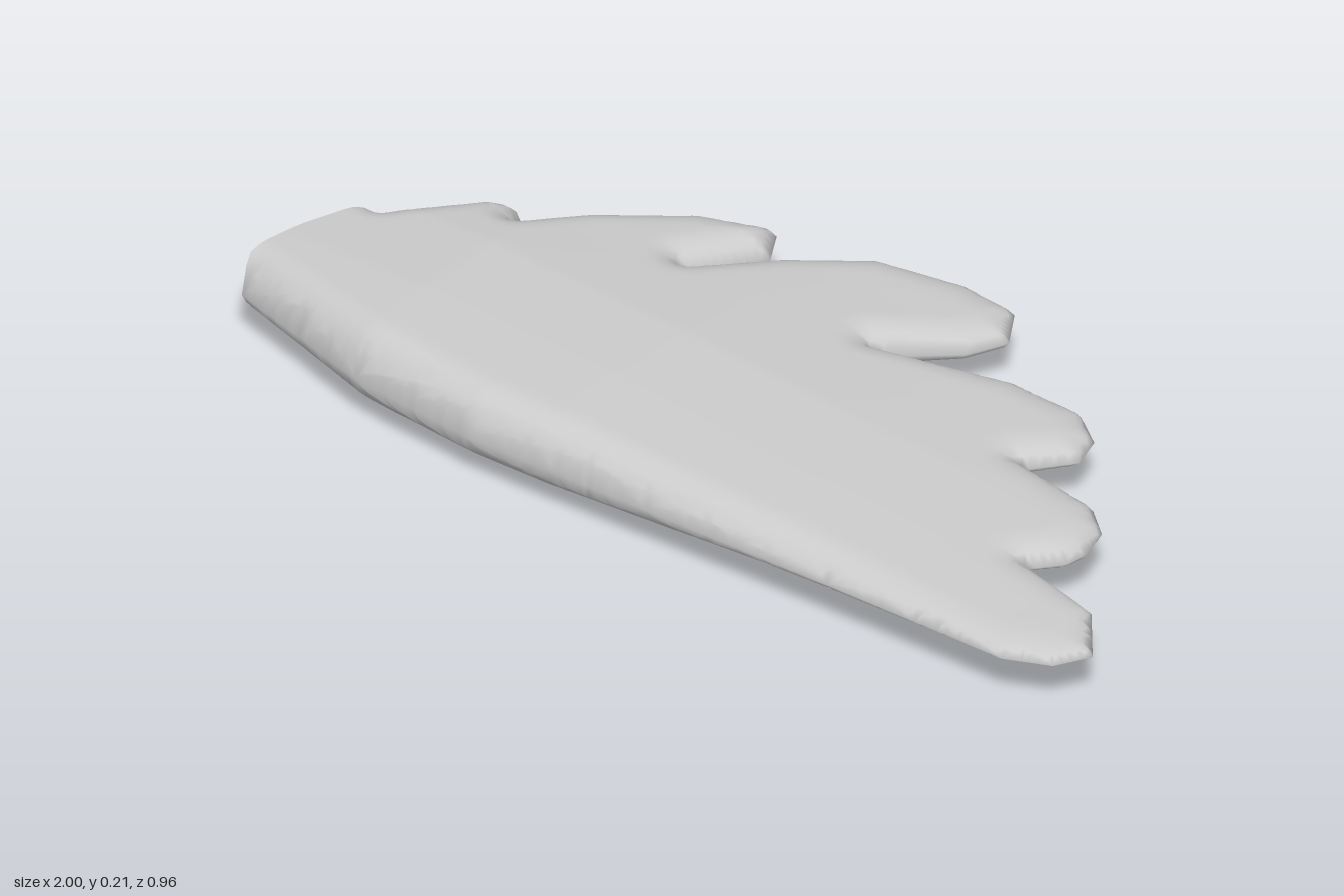
import * as THREE from 'three';
import { mergeVertices } from 'three/addons/utils/BufferGeometryUtils.js';

// Wing plan as [x, z]: leading edge, five feather tips, then the cut root
const PLAN = [
  [-0.99, 0.37], [-0.65, 0.46], [-0.37, 0.48], [0.46, 0.45], [0.87, 0.44],
  [0.96, 0.40], [1, 0.33], [0.91, 0.22], [0.82, 0.20], [0.72, 0.18],
  [0.77, 0.12], [0.78, 0.07], [0.76, 0], [0.70, -0.05], [0.51, -0.075],
  [0.58, -0.16], [0.56, -0.23], [0.49, -0.28], [0.33, -0.28], [0.06, -0.20],
  [0.19, -0.31], [0.23, -0.39], [0.18, -0.47], [0.06, -0.48], [-0.12, -0.44], [-0.26, -0.32], [-0.37, -0.18],
  [-0.29, -0.33], [-0.33, -0.40], [-0.47, -0.34], [-0.62, -0.20], [-0.70, -0.09],
  [-0.73, -0.14], [-0.79, -0.11], [-0.91, 0.05],
  [-0.97, 0.21], [-1, 0.33],
].map(([x, z]) => new THREE.Vector2(x, z));

const SEGMENTS = PLAN.map((p, i) => [p, PLAN[(i + 1) % PLAN.length]]);
const RIM = SEGMENTS.slice(0, -3);
const ROOT = SEGMENTS.slice(-3);
const MID = 0.11; // height of the rim
const ROUND = 0.08; // width of the rounded border
const MAX_EDGE = 0.022;

// Thickness above and below the rim plane, along x and as a factor along z
const TOP_X = [[-1, 0.085], [-0.65, 0.1], [-0.2, 0.09], [0.3, 0.062], [0.6, 0.042], [0.9, 0.026], [1, 0.02]];
const TOP_Z = [[-0.48, 0.4], [-0.3, 0.55], [-0.1, 0.78], [0.05, 0.96], [0.25, 1], [0.48, 0.92]];
const LOW_X = [[-1, 0.06], [-0.6, 0.108], [-0.2, 0.11], [0.1, 0.08], [0.3, 0.052], [0.6, 0.032], [0.9, 0.018], [1, 0.016]];
const LOW_Z = [[-0.48, 0.36], [-0.28, 0.47], [-0.06, 0.78], [0.01, 1], [0.12, 1], [0.25, 0.84], [0.42, 0.65], [0.48, 0.62]];

function lookup(table, v) {
  let i = 0;
  while (i < table.length - 2 && v > table[i + 1][0]) i++;
  const [a, b] = [table[i], table[i + 1]];
  const t = THREE.MathUtils.clamp((v - a[0]) / (b[0] - a[0]), 0, 1);
  return a[1] + (b[1] - a[1]) * t;
}

function distance(p, [a, b]) {
  const dx = b.x - a.x, dz = b.y - a.y;
  const t = THREE.MathUtils.clamp(((p.x - a.x) * dx + (p.y - a.y) * dz) / (dx * dx + dz * dz), 0, 1);
  return Math.hypot(p.x - a.x - dx * t, p.y - a.y - dz * t);
}

// Lift a plan point onto the upper (side 1) or lower (side -1) skin
function lift(p, side) {
  const d = Math.min(...RIM.map((s) => distance(p, s)));
  const t = Math.min(d / ROUND, 1);
  const full = side > 0
    ? lookup(TOP_X, p.x) * lookup(TOP_Z, p.y)
    : lookup(LOW_X, p.x) * lookup(LOW_Z, p.y);
  return [p.x, MID + side * full * Math.sqrt(1 - (1 - t) ** 2), p.y];
}

// Halve the longest edge until every triangle is small
function subdivide(a, b, c, out) {
  const ab = a.distanceTo(b), bc = b.distanceTo(c), ca = c.distanceTo(a);
  const longest = Math.max(ab, bc, ca);
  if (longest <= MAX_EDGE) {
    out.push([a, b, c]);
    return;
  }
  if (longest === bc) [a, b, c] = [b, c, a];
  else if (longest === ca) [a, b, c] = [c, a, b];
  const m = a.clone().add(b).multiplyScalar(0.5);
  subdivide(a, m, c, out);
  subdivide(m, b, c, out);
}

function smoothGeometry(positions) {
  let g = new THREE.BufferGeometry();
  g.setAttribute('position', new THREE.Float32BufferAttribute(positions, 3));
  g = mergeVertices(g, 1e-5);
  g.computeVertexNormals();
  return g;
}

export function createModel() {
  const group = new THREE.Group();
  group.name = 'wing';
  const material = new THREE.MeshStandardMaterial({ color: 0xcccccc, side: THREE.DoubleSide });

  const triangles = [];
  for (const [i, j, k] of THREE.ShapeUtils.triangulateShape(PLAN, [])) {
    let [a, b, c] = [PLAN[i], PLAN[j], PLAN[k]];
    const up = (b.y - a.y) * (c.x - a.x) - (b.x - a.x) * (c.y - a.y);
    if (up < 0) [b, c] = [c, b];
    subdivide(a, b, c, triangles);
  }

  const skin = [], cap = [];
  for (const tri of triangles) {
    const top = tri.map((p) => lift(p, 1));
    const low = tri.map((p) => lift(p, -1));
    skin.push(...top.flat(), ...low[0], ...low[2], ...low[1]);
    // Close the cut root with a wall between the two skins
    for (let i = 0; i < 3; i++) {
      const j = (i + 1) % 3;
      const onRoot = ROOT.some((s) => distance(tri[i], s) < 1e-6 && distance(tri[j], s) < 1e-6);
      if (onRoot) cap.push(...low[i], ...low[j], ...top[j], ...low[i], ...top[j], ...top[i]);
    }
  }

  const feathers = new THREE.Mesh(smoothGeometry(skin), material);
  feathers.name = 'featheredSkin';
  const root = new THREE.Mesh(smoothGeometry(cap), material);
  root.name = 'rootCap';
  group.add(feathers, root);
  return group;
}
